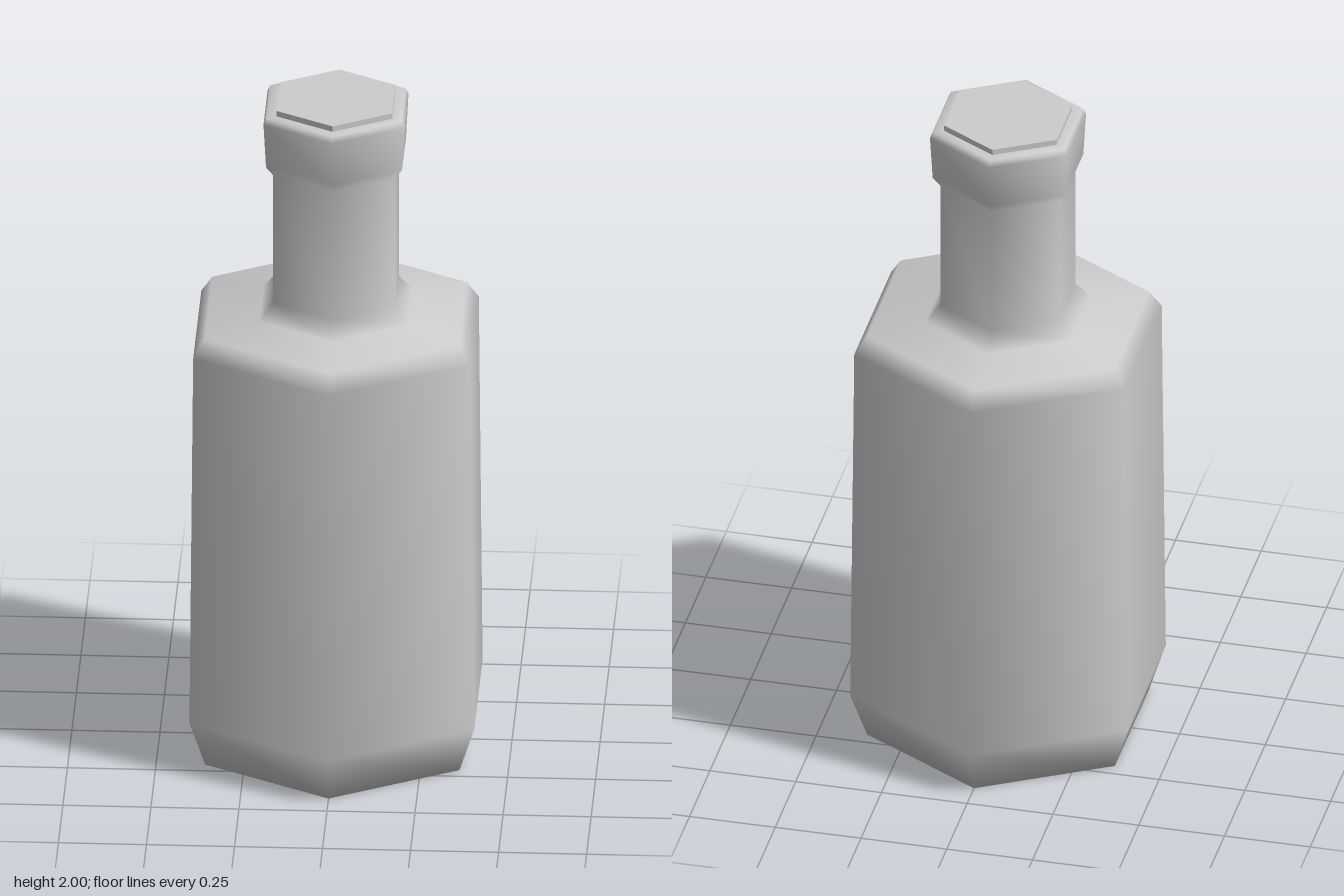
import * as THREE from 'three';

const SIDES = 6;

// Six-sided turned part with smooth normals; corners point to +z and -z
function turned(name, points, flatShading = false) {
  const profile = points.map(([r, y]) => new THREE.Vector2(r, y));
  const material = new THREE.MeshStandardMaterial({ color: 0xcccccc, flatShading });
  const mesh = new THREE.Mesh(new THREE.LatheGeometry(profile, SIDES), material);
  mesh.name = name;
  return mesh;
}

export function createModel() {
  const bottle = new THREE.Group();
  bottle.name = 'bottle';

  // Body with bevelled base, shoulder, neck and lip, closed underneath
  bottle.add(turned('bottleBody', [
    [0, 0], [0.417, 0],
    [0.467, 0.14], [0.455, 1.28],
    [0.418, 1.333], [0.245, 1.35],
    [0.2, 1.4], [0.2, 1.8],
    [0.223, 1.83], [0.231, 1.965],
    [0.222, 1.983], [0.185, 1.983],
  ]));

  // Stopper standing just above the lip
  bottle.add(turned('stopper', [[0.19, 1.93], [0.19, 2], [0, 2]], true));

  return bottle;
}
